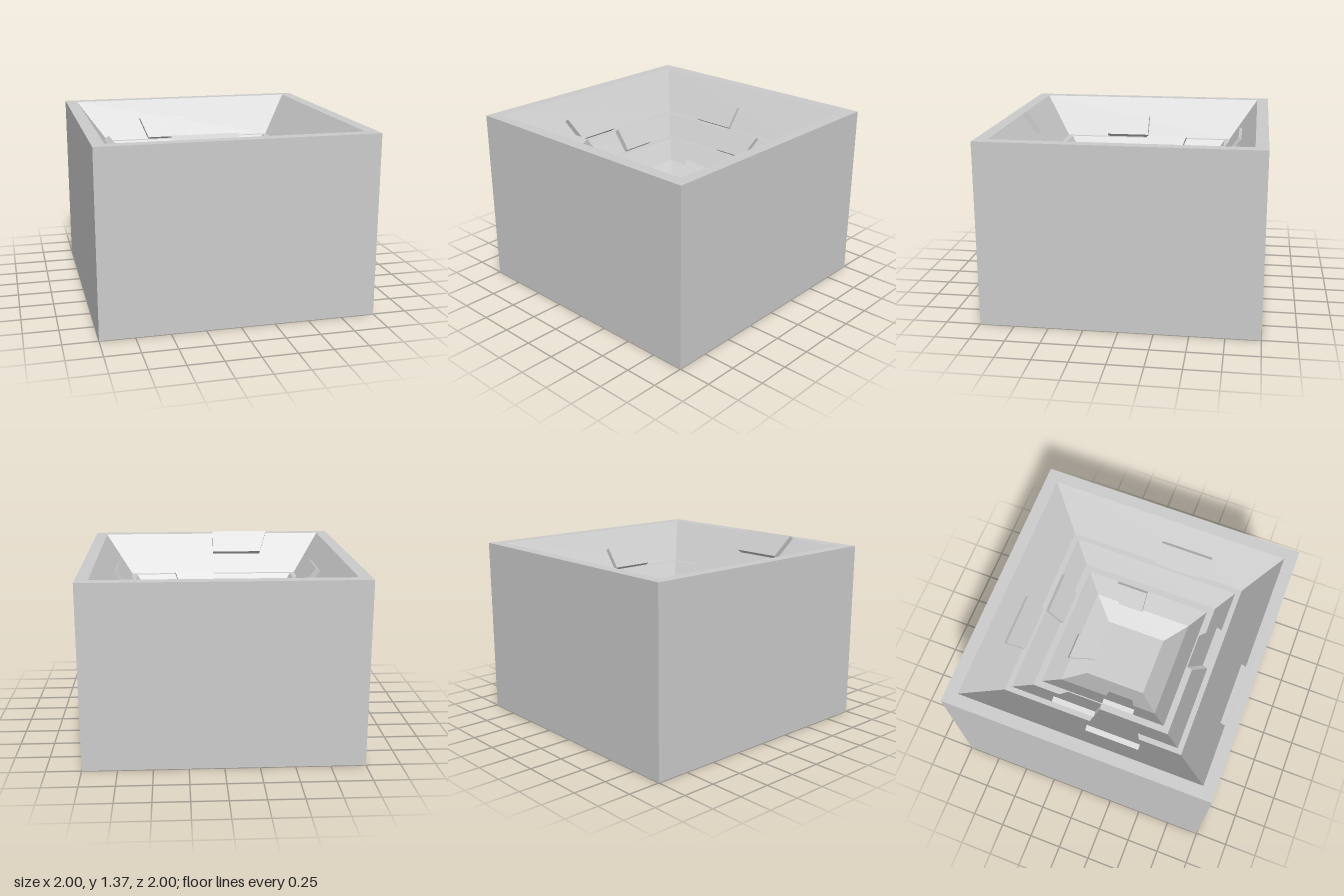
import * as THREE from 'three';

const grey = new THREE.MeshStandardMaterial({ color: 0xcccccc, flatShading: true });
const TOP = 1.34;

// Sloping walls of the stepped pit: half-width and height at the top and at the foot
const walls = [
  { r0: 0.91, y0: TOP, r1: 0.69, y1: TOP - 0.30 },
  { r0: 0.65, y0: TOP - 0.30, r1: 0.54, y1: TOP - 0.45 },
  { r0: 0.49, y0: TOP - 0.45, r1: 0.385, y1: TOP - 0.59 },
  { r0: 0.385, y0: TOP - 0.59, r1: 0.235, y1: TOP - 0.69 },
];

// Turn that carries the front wall (+z) to each side
const sides = { front: 0, left: Math.PI / 2, back: Math.PI, right: -Math.PI / 2 };

// Square block with the pit cut in: a four-sided lathe
function makeBlock() {
  const profile = [[0, 0], [1, 0], [1, TOP]];
  for (const w of walls) profile.push([w.r0, w.y0], [w.r1, w.y1]);
  profile.push([0, walls[3].y1]);
  const points = profile.map(([r, y]) => new THREE.Vector2(r * Math.SQRT2, y));
  const geometry = new THREE.LatheGeometry(points, 4, Math.PI / 4).toNonIndexed();
  geometry.computeVertexNormals();
  const mesh = new THREE.Mesh(geometry, grey);
  mesh.name = 'steppedBlock';
  return mesh;
}

// Plate lying on a wall, from the middle line out to uTop / uFoot;
// f0 and f1 are its ends as fractions of the slope, t its thickness
function makePlate(level, side, uTop, uFoot, t, f0 = 0, f1 = 1) {
  const { r0, y0, r1, y1 } = walls[level];
  const dr = r1 - r0, dy = y1 - y0, len = Math.hypot(dr, dy);
  const geometry = new THREE.BoxGeometry(1, 1, 1);
  const p = geometry.attributes.position;
  for (let i = 0; i < p.count; i++) {
    const upper = p.getY(i) > 0;
    const f = upper ? f0 : f1;
    const u = upper ? uTop : uFoot;
    const lift = p.getZ(i) < 0 ? t : 0;
    p.setXYZ(
      i,
      p.getX(i) > 0 ? Math.max(u, 0) : Math.min(u, 0),
      y0 + dy * f - (dr / len) * lift,
      r0 + dr * f + (dy / len) * lift,
    );
  }
  geometry.computeVertexNormals();
  const mesh = new THREE.Mesh(geometry, grey);
  mesh.rotation.y = sides[side];
  mesh.name = `${side}PlateLevel${level + 1}`;
  return mesh;
}

export function createModel() {
  const group = new THREE.Group();
  group.name = 'steppedPit';
  group.add(makeBlock());

  const plates = [
    // top wall
    [0, 'front', -0.46, -0.40, 0.043, 0, 0.52],
    [0, 'back', 0.40, 0.345, 0.027, 0.5, 1],
    [0, 'left', -0.40, -0.345, 0.036, 0.5, 1],
    [0, 'right', 0.40, 0.345, 0.043, 0.5, 1],
    // second wall
    [1, 'back', -0.325, -0.27, 0.033],
    [1, 'front', 0.325, 0.27, 0.048],
    [1, 'right', -0.33, -0.27, 0.043],
    // third wall
    [2, 'left', 0.245, 0.195, 0.033],
    [2, 'right', 0.245, 0.19, 0.04],
    // lowest slope, its upper end tucked into the wall above
    [3, 'back', 0.21, 0.115, 0.035, -0.15, 1],
  ];
  for (const plate of plates) group.add(makePlate(...plate));
  return group;
}
